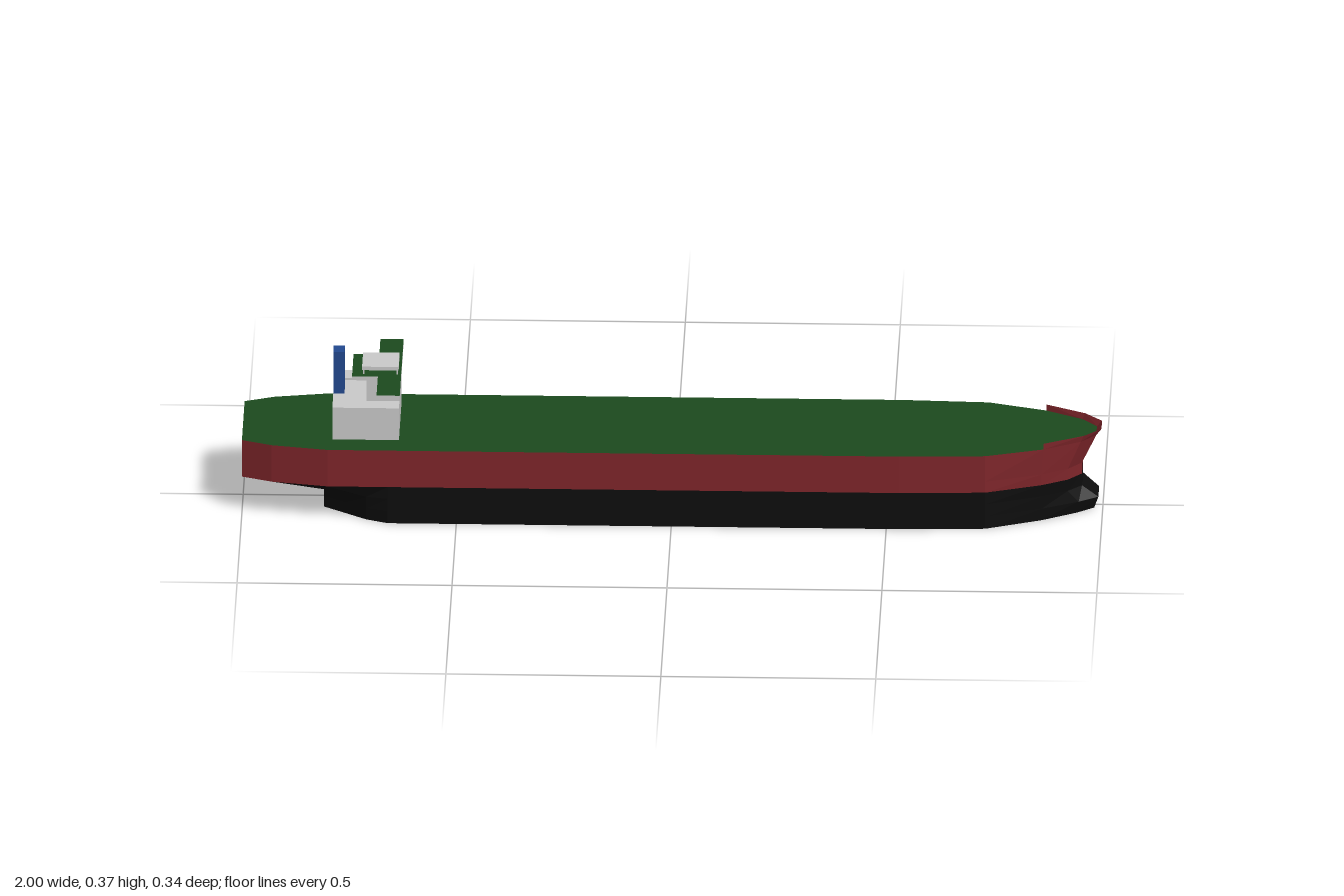
import * as THREE from 'three';

const CZ = -0.007; // centreline of the ship
const mat = (color, side = THREE.FrontSide) =>
  new THREE.MeshStandardMaterial({ color, side, flatShading: true });
const RED = 0x80262b, BLACK = 0x0d0d0d, GREEN = 0x1c4b1e, BLUE = 0x234a91, GREY = 0xcccccc;

// Half outlines at each height, listed stern to bow as [x, half width].
const mid = [[-0.66, 0.16], [0.53, 0.16], [0.73, 0.152]];
const level = (y, stern, bow) => ({ y, pts: [...stern, ...mid, ...bow] });
const sternWide = [[-1, 0.11], [-0.93, 0.137], [-0.8, 0.16]];
const keel = level(0, [[-0.81, 0.07], [-0.76, 0.105], [-0.71, 0.14]], [[0.86, 0.1], [0.94, 0.055], [0.98, 0.025]]);
const bulb = level(0.03, [[-0.81, 0.075], [-0.76, 0.11], [-0.71, 0.143]], [[0.86, 0.102], [0.945, 0.06], [0.99, 0.03]]);
const neck = level(0.062, [[-0.81, 0.09], [-0.76, 0.125], [-0.71, 0.15]], [[0.86, 0.103], [0.92, 0.07], [0.952, 0.037]]);
const water = level(0.092, sternWide, [[0.86, 0.106], [0.92, 0.073], [0.952, 0.037]]);
const stem = level(0.12, sternWide, [[0.86, 0.108], [0.92, 0.074], [0.952, 0.037]]);
const deck = level(0.185, sternWide, [[0.865, 0.11], [0.95, 0.064], [0.985, 0.025]]);
const rim = level(0.2, sternWide, [[0.865, 0.111], [0.957, 0.064], [0.997, 0.023]]);

const point = (l, i, side) => [l.pts[i][0], l.y, CZ + side * l.pts[i][1]];
const ring = (l, from = 0) => {
  const out = [];
  for (let i = from; i < l.pts.length; i++) out.push(point(l, i, 1));
  for (let i = l.pts.length - 1; i >= from; i--) out.push(point(l, i, -1));
  return out;
};

function quadMesh(name, quads, material) {
  const pos = [];
  for (const [a, b, c, d] of quads) pos.push(...a, ...b, ...c, ...a, ...c, ...d);
  const g = new THREE.BufferGeometry();
  g.setAttribute('position', new THREE.Float32BufferAttribute(pos, 3));
  g.computeVertexNormals();
  const m = new THREE.Mesh(g, material);
  m.name = name;
  return m;
}

// Plating between successive outlines.
function plating(levels, from = 0, closed = true) {
  const quads = [];
  for (let k = 0; k + 1 < levels.length; k++) {
    const lo = ring(levels[k], from), hi = ring(levels[k + 1], from), n = lo.length;
    for (let i = 0; i < (closed ? n : n - 1); i++) {
      const j = (i + 1) % n;
      quads.push([lo[i], lo[j], hi[j], hi[i]]);
    }
  }
  return quads;
}

// Flat surface filling one outline.
function cap(l, up) {
  const quads = [];
  for (let i = 0; i + 1 < l.pts.length; i++) {
    const q = [point(l, i, 1), point(l, i + 1, 1), point(l, i + 1, -1), point(l, i, -1)];
    quads.push(up ? q : q.reverse());
  }
  return quads;
}

// Box given by its limits; topColor paints the upper face.
function block(name, [x0, x1], [y0, y1], [z0, z1], color, topColor = color) {
  const side = mat(color), top = mat(topColor);
  const m = new THREE.Mesh(new THREE.BoxGeometry(x1 - x0, y1 - y0, z1 - z0),
    topColor === color ? side : [side, side, top, side, side, side]);
  m.position.set((x0 + x1) / 2, (y0 + y1) / 2, (z0 + z1) / 2);
  m.name = name;
  return m;
}

export function createModel() {
  const ship = new THREE.Group();
  ship.name = 'tankerShip';

  // Hull
  ship.add(
    quadMesh('lowerHull', [...plating([keel, bulb, neck, water]), ...cap(keel, false)], mat(BLACK)),
    quadMesh('upperHull', plating([water, stem, deck]), mat(RED)),
    quadMesh('mainDeck', cap(deck, true), mat(GREEN)),
    quadMesh('bowBulwark', plating([deck, rim], 6, false), mat(RED, THREE.DoubleSide)),
  );

  // Deckhouse and bridge
  const house = new THREE.Group();
  house.name = 'superstructure';
  house.add(
    block('deckhouse', [-0.79, -0.635], [0.185, 0.266], [-0.105, 0.093], GREY),
    block('sideLanding', [-0.79, -0.69], [0.266, 0.272], [-0.107, -0.063], GREY),
    block('bridgeHouse', [-0.712, -0.635], [0.266, 0.323], [-0.063, 0.052], GREY),
    block('bridgeDeck', [-0.745, -0.685], [0.323, 0.333], [-0.063, 0.063], GREY, GREEN),
    block('bridgeWings', [-0.685, -0.631], [0.323, 0.333], [-0.15, 0.17], GREY, GREEN),
    block('bridgeRoof', [-0.722, -0.637], [0.343, 0.352], [-0.031, 0.05], GREY),
    block('funnel', [-0.79, -0.764], [0.266, 0.372], [-0.023, 0.013], BLUE),
  );
  // Corner posts under the roof
  for (const x of [-0.72, -0.642])
    for (const z of [-0.031, 0.047])
      house.add(block('roofPost', [x, x + 0.003], [0.333, 0.343], [z, z + 0.003], GREY));
  ship.add(house);
  return ship;
}
